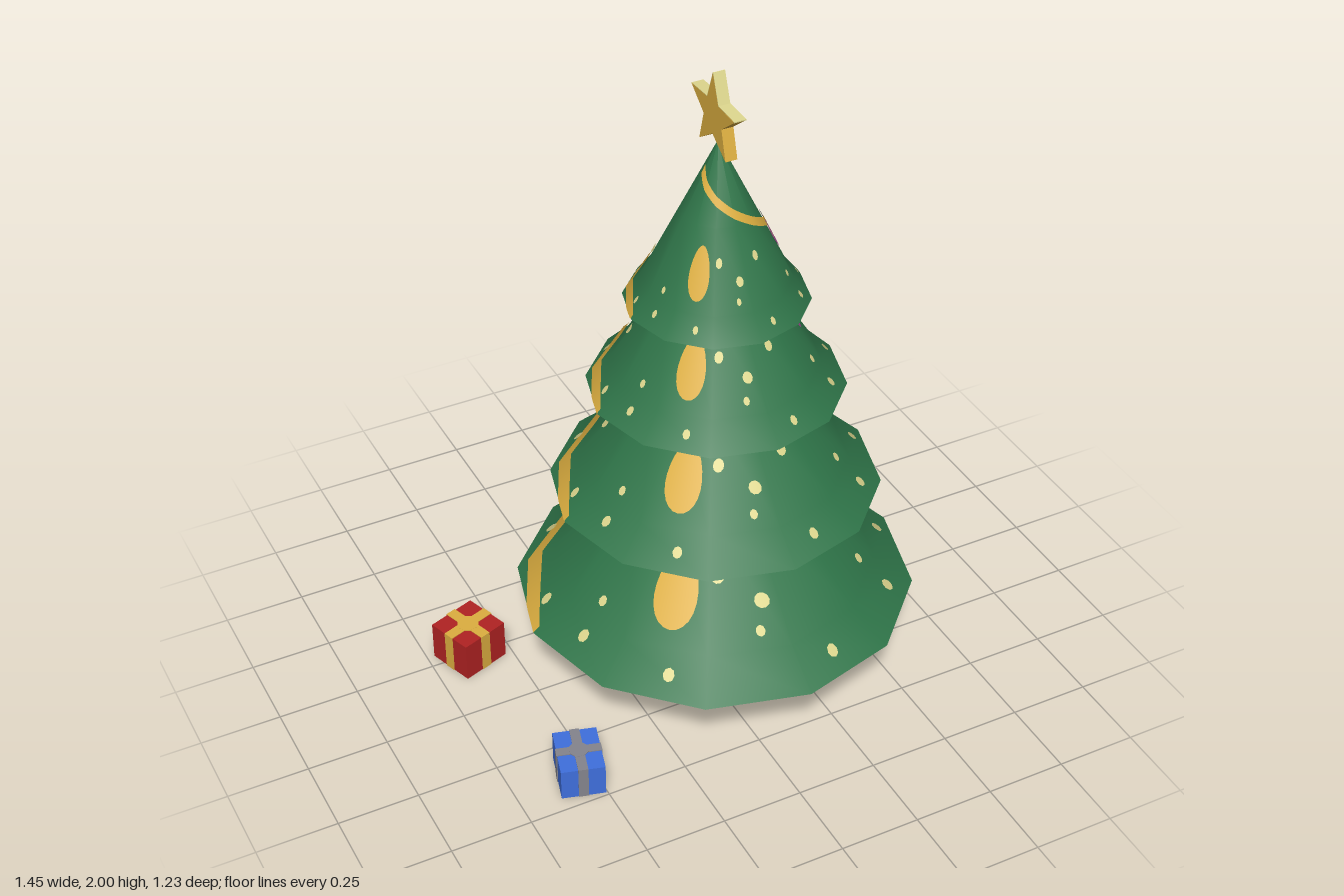
import * as THREE from 'three';
import { mergeGeometries } from 'three/addons/utils/BufferGeometryUtils.js';

const mat = (name, color) => Object.assign(new THREE.MeshStandardMaterial({ color }), { name });
const M = {
  green: mat('tree green', 0x2f7549),
  dark: mat('dark green', 0x0e2a1f),
  gold: mat('gold', 0xdcae40),
  cream: mat('cream light', 0xded78e),
  purple: mat('purple', 0xa0488f),
  red: mat('red', 0xb02222),
  blue: mat('blue', 0x3f6fdc),
  grey: mat('grey ribbon', 0x84848c),
  brown: mat('bark brown', 0x543725),
};
const RAD = Math.PI / 180, SIDES = 12, KNEE = 0.14, KNEE_R = 0.8;

function add(parent, name, geometry, material, x = 0, y = 0, z = 0) {
  const mesh = new THREE.Mesh(geometry, material);
  mesh.name = name;
  mesh.position.set(x, y, z);
  parent.add(mesh);
  return mesh;
}

// Radius of a tier's flared profile (0..1) at height fraction f
const profile = f => f < KNEE ? 1 - (1 - KNEE_R) * f / KNEE : KNEE_R * (1 - f) / (1 - KNEE);

// Thin painted patch hugging a twelve-sided tier; fn(s, t) gives [degrees, height fraction]
function patch(tier, fn, ns, nt) {
  const pos = [], nor = [], idx = [];
  for (let i = 0; i <= ns; i++) for (let j = 0; j <= nt; j++) {
    const [deg, f0] = fn(i / ns, j / nt), f = Math.max(0.002, f0), a = deg * RAD;
    const inFacet = ((deg % 30) + 30) % 30 - 15;
    const r = tier.r * profile(f) * Math.cos(15 * RAD) / Math.cos(inFacet * RAD);
    const n = new THREE.Vector3(Math.cos(a) * tier.h, 0.93 * tier.r, Math.sin(a) * tier.h).normalize();
    pos.push(r * Math.cos(a) + n.x * 0.005, f * tier.h + n.y * 0.005, r * Math.sin(a) + n.z * 0.005);
    nor.push(n.x, n.y, n.z);
    if (i < ns && j < nt) {
      const p = i * (nt + 1) + j, q = p + nt + 1;
      idx.push(p, q, p + 1, q, q + 1, p + 1);
    }
  }
  const g = new THREE.BufferGeometry();
  g.setAttribute('position', new THREE.Float32BufferAttribute(pos, 3));
  g.setAttribute('normal', new THREE.Float32BufferAttribute(nor, 3));
  g.setIndex(idx);
  return g;
}
const oval = (tier, deg, f, w, h, rings = 4, n = 24) => patch(tier, (s, t) =>
  [deg + w * s * Math.cos(t * 2 * Math.PI), f - h * s * Math.sin(t * 2 * Math.PI)], rings, n);

// Fairy lights: [degrees from +x toward +z, height fraction]
const LIGHTS = [
  [-105, .08], [-81, .07], [-13, .07], [-13, .2], [9, .07], [39, .07], [39, .2], [77, .07], [100, .2],
  [132, .07], [165, .08], [166, .2], [-172, .07], [-104, .2], [-45, .18], [-45, .07], [-135, .07],
  [116, .4], [97, .3], [74, .4], [24, .4], [8, .41], [-30, .27], [-75, .32], [-150, .3], [-120, .42],
];
const TIERS = [
  { y: 0.235, r: 0.615, h: 0.69 },
  { y: 0.625, r: 0.5, h: 0.615 },
  { y: 0.98, r: 0.385, h: 0.565 },
  { y: 1.275, r: 0.273, h: 0.515 },
];

function makeTier(tier, i) {
  const g = new THREE.Group();
  g.name = 'branchTier' + (i + 1);
  g.position.y = tier.y;
  const pts = [[1, 0], [KNEE_R, KNEE], [0.4, 0.57], [0, 1]]
    .map(([r, f]) => new THREE.Vector2(r * tier.r, f * tier.h));
  add(g, 'branches', new THREE.LatheGeometry(pts, SIDES), M.green);
  add(g, 'underside', new THREE.CircleGeometry(tier.r, SIDES), M.dark).rotation.x = Math.PI / 2;
  // Garland winds down one full turn
  add(g, 'garland', patch(tier, (s, t) => {
    const deg = -180 + 360 * t;
    return [deg, 0.42 + 0.21 * deg / 90 + (s - 0.5) * 0.052];
  }, 2, 144), M.gold);
  // Baubles
  add(g, 'goldBauble', oval(tier, 135, 0.34, 10, 0.14), M.gold);
  add(g, 'purpleBauble', oval(tier, 18.5, 0.4, 13, 0.1), M.purple);
  add(g, 'redBauble', oval(tier, -50, 0.55, 20, 0.12), M.red);
  add(g, 'baubleCap', oval(tier, 18.5, 0.51, 6, 0.025), M.dark);
  add(g, 'lights', mergeGeometries(LIGHTS.map(([deg, f]) =>
    f < 0.25 ? oval(tier, deg, f, 1.9, 0.02, 1, 8) : oval(tier, deg, f, 3.4, 0.027, 2, 10))), M.cream);
  return g;
}

// Star standing in the side plane, with pale upper edges
function makeStar() {
  const g = new THREE.Group();
  g.name = 'star';
  const pts = Array.from({ length: 10 }, (_, k) => {
    const r = k % 2 ? 0.055 : 0.132, a = (90 + 36 * k) * RAD;
    return new THREE.Vector2(r * Math.cos(a), r * Math.sin(a));
  });
  const body = new THREE.ExtrudeGeometry(new THREE.Shape(pts), { depth: 0.037, bevelEnabled: false });
  add(g, 'starBody', body.translate(0, 0, -0.0185), M.gold);
  for (const k of [0, 1, 8, 9]) {
    const a = pts[k], b = pts[(k + 1) % 10];
    const strip = add(g, 'starEdge', new THREE.BoxGeometry(a.distanceTo(b), 0.003, 0.0365), M.cream,
      (a.x + b.x) / 2, (a.y + b.y) / 2);
    strip.rotation.z = Math.atan2(b.y - a.y, b.x - a.x);
  }
  g.rotation.y = Math.PI / 2;
  g.position.y = 1.868;
  return g;
}

function makeGift(name, [w, h, d], paper, ribbon, rw, x, z, turn) {
  const g = new THREE.Group(), e = 0.005, y = (h + e / 2) / 2;
  g.name = name;
  add(g, 'box', new THREE.BoxGeometry(w, h, d), paper, 0, h / 2);
  add(g, 'ribbonAlong', new THREE.BoxGeometry(rw, h + e / 2, d + e), ribbon, 0, y);
  add(g, 'ribbonAcross', new THREE.BoxGeometry(w + e, h + e / 2, rw), ribbon, 0, y);
  add(g, 'ribbonKnot', new THREE.CylinderGeometry(rw, rw, 0.004, 12), ribbon, 0, h + 0.001);
  g.position.set(x, 0, z);
  g.rotation.y = turn;
  return g;
}

export function createModel() {
  const model = new THREE.Group();
  model.name = 'festiveTree';
  const tree = new THREE.Group();
  tree.name = 'tree';
  tree.position.x = 0.107;
  add(tree, 'trunk', new THREE.CylinderGeometry(0.04, 0.053, 0.3, 10), M.brown, 0, 0.15);
  TIERS.forEach((t, i) => tree.add(makeTier(t, i)));
  tree.add(makeStar());
  model.add(tree);
  model.add(makeGift('redGift', [0.16, 0.128, 0.155], M.red, M.gold, 0.034, -0.625, -0.247, 0.34));
  model.add(makeGift('blueGift', [0.132, 0.103, 0.17], M.blue, M.grey, 0.03, -0.545, 0.39, -0.28));
  return model;
}
